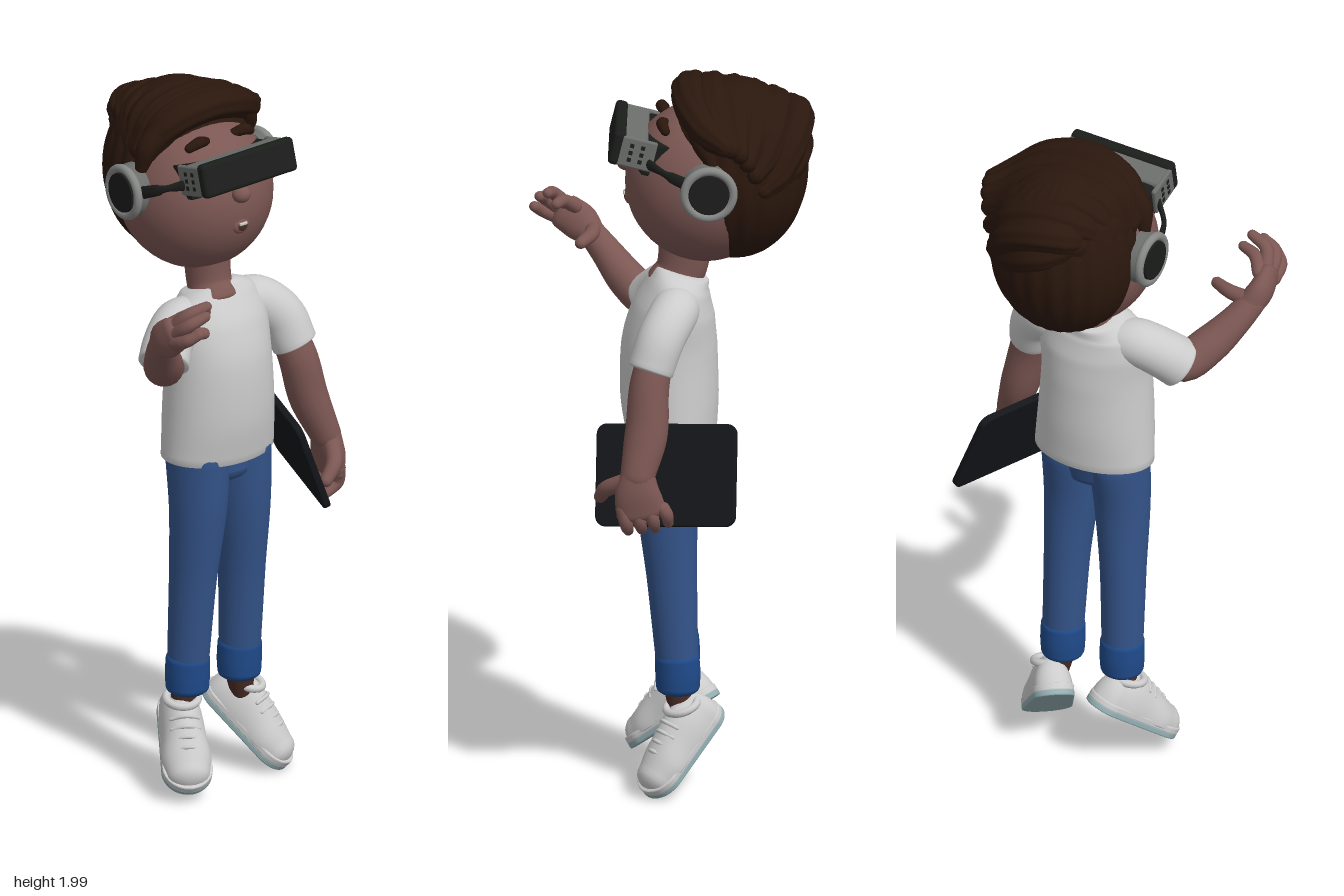
import * as THREE from 'three';
import { RoundedBoxGeometry } from 'three/addons/geometries/RoundedBoxGeometry.js';

const mat = (color) => new THREE.MeshStandardMaterial({ color, side: THREE.DoubleSide });
const M = {
  skin: mat(0x7c5753), sock: mat(0x4a2c24), hair: mat(0x2a170d), shirt: mat(0xe2e2e2), jeans: mat(0x34548a),
  cuff: mat(0x1f4a8a), black: mat(0x1b1d1b), tablet: mat(0x14161a), grey: mat(0x6c6e6c), ring: mat(0x868886),
  shoe: mat(0xe6e6e6), sole: mat(0x93aeb2), white: mat(0xdddddd),
};
const V = (x, y, z) => new THREE.Vector3(x, y, z);

// Smooth tapered body along a path of [x, y, z, rx, rz]; rz lies along ref, round sets how domed the ends are
function loft(pts, { ref = V(0, 0, 1), round = 1, sides = 20, steps = 20, wave = 0, waves = 0, floor = 1 } = {}) {
  const path = new THREE.CatmullRomCurve3(pts.map((p) => V(p[0], p[1], p[2])));
  const radii = new THREE.CatmullRomCurve3(pts.map((p) => V(p[3], p[4] ?? p[3], 0)));
  const rings = [];
  for (let k = 0; k < 5; k++) rings.push([0, Math.sin(k * Math.PI / 10), -Math.cos(k * Math.PI / 10)]);
  for (let i = 0; i <= steps; i++) rings.push([i / steps, 1, 0]);
  for (let k = 1; k <= 5; k++) rings.push([1, Math.cos(k * Math.PI / 10), Math.sin(k * Math.PI / 10)]);
  const pos = [], idx = [];
  rings.forEach(([t, s, off], i) => {
    const c = path.getPoint(t), r = radii.getPoint(t), T = path.getTangent(t);
    const N = ref.clone().addScaledVector(T, -ref.dot(T)).normalize(), B = N.clone().cross(T);
    c.addScaledVector(T, off * round * Math.min(r.x, r.y));
    for (let j = 0; j < sides; j++) {
      const a = j / sides * Math.PI * 2, w = s * (1 + wave * Math.cos(waves * a));
      const n = Math.sin(a) * r.y * w;
      const p = c.clone().addScaledVector(B, Math.cos(a) * r.x * w).addScaledVector(N, n < 0 ? n * floor : n);
      pos.push(p.x, p.y, p.z);
      if (i) {
        const d = i * sides + j, e = i * sides + (j + 1) % sides;
        idx.push(d - sides, e - sides, e, d - sides, e, d);
      }
    }
  });
  const g = new THREE.BufferGeometry();
  g.setAttribute('position', new THREE.Float32BufferAttribute(pos, 3));
  g.setIndex(idx);
  g.computeVertexNormals();
  return g;
}
function add(parent, name, geo, material, p = [0, 0, 0], scale = [1, 1, 1]) {
  const m = new THREE.Mesh(geo, material);
  m.name = name;
  m.position.set(...p);
  m.scale.set(...scale);
  parent.add(m);
  return m;
}
const group = (parent, name) => {
  const g = new THREE.Group();
  g.name = name;
  parent.add(g);
  return g;
};
const ball = () => new THREE.SphereGeometry(1, 40, 28);

function buildHead(root) {
  const head = group(root, 'head');
  add(head, 'face', ball(), M.skin, [0.025, 1.7, -0.085], [0.21, 0.22, 0.217]);
  add(head, 'neck', loft([[0.02, 1.4, 0.008, 0.078, 0.07], [0.022, 1.45, -0.02, 0.057, 0.068], [0.025, 1.56, -0.035, 0.06, 0.075]], { round: 0.3, sides: 28 }), M.skin);
  add(head, 'nose', ball(), M.skin, [0.013, 1.75, 0.128], [0.027, 0.025, 0.027]);
  add(head, 'lips', ball(), M.skin, [0.017, 1.657, 0.121], [0.028, 0.025, 0.013]);
  add(head, 'mouth', ball(), M.sock, [0.017, 1.656, 0.129], [0.018, 0.015, 0.006]);
  add(head, 'teeth', new RoundedBoxGeometry(0.026, 0.009, 0.008, 2, 0.003), M.white, [0.017, 1.663, 0.133]);
  for (const s of [-1, 1]) {
    const x = 0.023 + s * 0.077;
    add(head, 'eyebrow', loft([[x - 0.028, 1.876 + s * 0.003, 0.024, 0.013], [x, 1.886, 0.033, 0.016], [x + 0.028, 1.876 - s * 0.003, 0.024, 0.013]], { sides: 12, steps: 8 }), M.hair);
  }
}

function buildHair(root) {
  const hair = group(root, 'hair');
  // Grooved back of the hair
  const back = new THREE.SphereGeometry(1, 120, 32), p = back.attributes.position;
  for (let i = 0; i < p.count; i++) {
    const a = Math.atan2(p.getX(i), p.getZ(i)), k = 1 + 0.015 * Math.cos(a * 22);
    p.setXYZ(i, p.getX(i) * k, p.getY(i), p.getZ(i) * k);
  }
  back.computeVertexNormals();
  add(hair, 'backHair', back, M.hair, [0.031, 1.74, -0.165], [0.206, 0.25, 0.195]);
  add(hair, 'crown', ball(), M.hair, [0.032, 1.835, -0.16], [0.188, 0.135, 0.178]);
  // Locks swept across the crown towards the left side
  const n = 6;
  for (let i = 0; i < n; i++) {
    const f = i / (n - 1), q = f * f, mix = (a, b) => a + (b - a) * f;
    add(hair, 'sweptLock', loft([
      [-0.135 + q * 0.08, 1.845 - q * 0.01, mix(-0.085, -0.265), 0.035, 0.035],
      [-0.09 + q * 0.05, 1.92 - q * 0.045, mix(-0.06, -0.305), 0.048, 0.045],
      [0.02, 1.952 - q * 0.07, mix(-0.045, -0.325), 0.053, 0.047],
      [0.13 - q * 0.015, 1.932 - q * 0.1, mix(-0.055, -0.31), 0.05, 0.046],
      [0.205 - q * 0.035, 1.89 - q * 0.13, mix(-0.09, -0.275), 0.04, 0.04],
      [0.265 - q * 0.06, 1.87 - q * 0.14, mix(-0.135, -0.24), 0.024, 0.026],
    ], { ref: V(0, 1, 0), sides: 48, steps: 28, wave: 0.035, waves: 9 }), M.hair);
  }
  // Lower lock around the back and side locks over the temples
  add(hair, 'backLock', loft([[-0.06, 1.85, -0.285, 0.04], [0.03, 1.815, -0.325, 0.05], [0.12, 1.765, -0.3, 0.046], [0.195, 1.735, -0.22, 0.028]], { ref: V(0, 1, 0), sides: 36, wave: 0.035, waves: 9 }), M.hair);
  add(hair, 'templeLock', loft([[-0.11, 1.91, -0.06, 0.035], [-0.152, 1.86, -0.07, 0.03], [-0.165, 1.8, -0.08, 0.018]]), M.hair);
  add(hair, 'templeLock', loft([[0.16, 1.91, -0.06, 0.035], [0.2, 1.855, -0.08, 0.03], [0.217, 1.81, -0.1, 0.016]]), M.hair);
}

function buildHeadset(root) {
  const set = group(root, 'headset');
  for (const s of [-1, 1]) {
    const cup = group(set, 'earCup');
    cup.position.set(0.027 + s * 0.218, 1.735, -0.1 + s * 0.008);
    cup.rotation.set(0, s * 0.06, -s * Math.PI / 2);
    add(cup, 'cushion', new THREE.CylinderGeometry(0.068, 0.076, 0.042, 40), M.grey, [0, -0.007, 0]);
    add(cup, 'cupRim', new THREE.TorusGeometry(0.066, 0.012, 14, 48).rotateX(Math.PI / 2), M.ring, [0, 0.011, 0]);
    add(cup, 'cupPlate', new THREE.CylinderGeometry(0.054, 0.058, 0.02, 40), M.black, [0, 0.014, 0]);
    const x = 0.02;
    add(set, 'strap', loft([[x + s * 0.212, 1.748, -0.05, 0.007, 0.018], [x + s * 0.198, 1.772, 0.01, 0.007, 0.016], [x + s * 0.15, 1.793, 0.07, 0.007, 0.016]], { ref: V(0, 1, 0), sides: 12 }), M.black);
  }
  const visor = group(set, 'visor');
  visor.position.set(0.017, 1.818, 0.1);
  visor.rotation.set(-0.24, -0.03, 0.025);
  add(visor, 'visorBody', new RoundedBoxGeometry(0.3, 0.085, 0.075, 3, 0.01), M.grey, [0, 0, 0.012]);
  add(visor, 'frontPlate', new RoundedBoxGeometry(0.312, 0.094, 0.034, 3, 0.012), M.black, [0, 0.002, 0.053]);
  for (const s of [-1, 1]) {
    add(visor, 'sidePod', new RoundedBoxGeometry(0.014, 0.085, 0.1, 3, 0.006), M.grey, [s * 0.148, 0, -0.002]);
    for (let i = 0; i < 6; i++)
      add(visor, 'sideButton', new THREE.BoxGeometry(0.004, 0.011, 0.011), M.black, [s * 0.155, 0.02 - (i % 3) * 0.02, i < 3 ? 0.015 : -0.015]);
  }
  // Face mask curved to the forehead
  const sh = new THREE.Shape();
  sh.moveTo(-0.136, -0.03);
  sh.quadraticCurveTo(0, 0.01, 0.136, -0.03);
  sh.lineTo(0.14, -0.085);
  sh.quadraticCurveTo(0, 0.01, -0.14, -0.085);
  const mask = new THREE.ExtrudeGeometry(sh, { depth: 0.082, bevelSize: 0.004, bevelThickness: 0.006, bevelSegments: 2, curveSegments: 20 });
  add(visor, 'faceMask', mask.rotateX(Math.PI / 2), M.black, [0, 0.03, 0]);
}

function buildBody(root) {
  const top = group(root, 'tShirt');
  add(top, 'shirtBody', loft([
    [0.03, 0.97, 0.005, 0.171, 0.12], [0.028, 1.1, 0.012, 0.163, 0.133], [0.027, 1.24, 0.012, 0.155, 0.13],
    [0.027, 1.34, 0.0, 0.157, 0.112], [0.025, 1.405, -0.014, 0.138, 0.086], [0.022, 1.437, -0.024, 0.083, 0.074],
  ], { round: 0.1, sides: 40, steps: 30 }), M.shirt);
  add(top, 'sleeve', loft([[0.08, 1.365, -0.015, 0.055], [0.165, 1.365, 0.002, 0.066], [0.225, 1.315, 0.036, 0.065], [0.25, 1.235, 0.065, 0.063]], { round: 0.15, sides: 28 }), M.shirt);
  add(top, 'sleeve', loft([[-0.03, 1.365, -0.015, 0.055], [-0.105, 1.362, 0.002, 0.066], [-0.165, 1.325, 0.033, 0.068], [-0.2, 1.29, 0.06, 0.07]], { round: 0.15, sides: 28 }), M.shirt);

  const legs = group(root, 'jeans');
  add(legs, 'hips', loft([[0.027, 0.92, 0.014, 0.11, 0.088], [0.027, 1.0, 0.005, 0.148, 0.1]], { round: 0.45, sides: 36 }), M.jeans);
  for (const s of [-1, 1]) {
    const x = (d) => 0.029 + s * d, name = s > 0 ? 'left' : 'right';
    add(legs, name + 'Leg', loft([[x(0.071), 0.97, 0.01, 0.079, 0.103], [x(0.076), 0.82, 0.018, 0.075, 0.085], [x(0.085), 0.6, 0.006, 0.062, 0.068], [x(0.09), 0.36, -0.008, 0.056, 0.057]], { sides: 28 }), M.jeans);
    add(legs, name + 'Cuff', loft([[x(0.09), 0.29, -0.01, 0.059], [x(0.09), 0.33, -0.01, 0.061], [x(0.09), 0.375, -0.008, 0.06]], { round: 0.4, sides: 28 }), M.cuff);
    add(legs, name + 'Ankle', loft([[x(0.105), 0.21, -0.018, 0.03], [x(0.092), 0.3, -0.012, 0.042]]), M.sock);
  }
}

function buildShoe(root, name, pos, yaw, pitch) {
  const shoe = group(root, name);
  shoe.position.set(...pos);
  shoe.rotation.set(pitch, yaw, 0, 'YXZ');
  const up = V(0, 1, 0);
  add(shoe, 'upper', loft([[0, 0.025, -0.115, 0.052, 0.088], [0, 0.025, -0.06, 0.06, 0.1], [0, 0.025, 0.0, 0.063, 0.088], [0, 0.025, 0.06, 0.069, 0.068], [0, 0.025, 0.105, 0.06, 0.052]], { ref: up, floor: 0.2, round: 0.8, sides: 28 }), M.shoe);
  // Rounded sole outline: white welt above, pale tread below
  const sh = new THREE.Shape();
  sh.absarc(0, 0.087, 0.065, Math.PI, 0, true);
  sh.absarc(0, -0.104, 0.053, 0, -Math.PI, true);
  const slab = (d, y) => new THREE.ExtrudeGeometry(sh, { depth: d, bevelSize: 0.004, bevelThickness: 0.004, bevelSegments: 2, curveSegments: 20 }).rotateX(Math.PI / 2).translate(0, y, 0);
  add(shoe, 'welt', slab(0.012, 0.03), M.shoe);
  add(shoe, 'tread', slab(0.01, 0.014), M.sole);
  add(shoe, 'toeCap', loft([[0, 0, 0.055, 0.062, 0.016], [0, 0, 0.095, 0.056, 0.016]], { ref: up, round: 2.5 }), M.shoe, [0, 0.035, 0.005]);
  add(shoe, 'collar', new THREE.TorusGeometry(0.043, 0.011, 10, 28).rotateX(Math.PI / 2 - 0.4), M.shoe, [0, 0.108, -0.087]);
  for (let i = 0; i < 4; i++) {
    const z = -0.025 + i * 0.027, y = 0.121 - i * 0.0095;
    add(shoe, 'lace', loft([[-0.038, y - 0.02, z, 0.005], [0, y, z + 0.004, 0.006], [0.038, y - 0.02, z, 0.005]], { ref: up, sides: 8, steps: 8 }), M.white);
  }
}

function buildArms(root) {
  const finger = (parent, name, a, b, c, r = 0.018) =>
    add(parent, name, loft([[...a, r * 1.1], [...b, r], [...c, r * 0.8]], { ref: V(0.3, 0.2, 1), sides: 14, steps: 10 }), M.skin);

  // Lowered arm gripping the tablet
  const left = group(root, 'leftArm');
  add(left, 'arm', loft([[0.23, 1.29, 0.045, 0.048], [0.26, 1.19, 0.068, 0.054], [0.29, 1.07, 0.076, 0.053, 0.058], [0.328, 0.96, 0.1, 0.042, 0.047]]), M.skin);
  add(left, 'palm', loft([[0.328, 0.97, 0.1, 0.038, 0.045], [0.338, 0.91, 0.1, 0.034, 0.062], [0.342, 0.86, 0.09, 0.025, 0.068]]), M.skin);
  for (let i = 0; i < 4; i++) {
    const z = 0.13 - i * 0.036, y = i === 3 ? 0.03 : i * 0.006;
    finger(left, 'finger', [0.342, 0.87, z + 0.01], [0.346, 0.825 + y, z], [0.305 + i * 0.008, 0.797 + y, z - 0.005]);
  }
  finger(left, 'thumb', [0.325, 0.94, 0.135], [0.29, 0.91, 0.185], [0.25, 0.875, 0.2], 0.022);

  // Raised arm with a curled open hand
  const right = group(root, 'rightArm');
  add(right, 'arm', loft([[-0.15, 1.335, 0.03, 0.045], [-0.205, 1.288, 0.07, 0.055], [-0.255, 1.325, 0.125, 0.053], [-0.305, 1.385, 0.18, 0.043], [-0.335, 1.43, 0.22, 0.037]]), M.skin);
  add(right, 'palm', loft([[-0.33, 1.425, 0.215, 0.037], [-0.347, 1.455, 0.25, 0.052, 0.034], [-0.35, 1.485, 0.29, 0.05, 0.027]], { ref: V(1, 0.3, 0.2) }), M.skin);
  finger(right, 'finger', [-0.335, 1.505, 0.265], [-0.308, 1.53, 0.295], [-0.262, 1.535, 0.315]);
  finger(right, 'finger', [-0.345, 1.505, 0.285], [-0.327, 1.545, 0.322], [-0.277, 1.562, 0.338]);
  finger(right, 'finger', [-0.353, 1.49, 0.3], [-0.343, 1.525, 0.345], [-0.3, 1.545, 0.36]);
  finger(right, 'finger', [-0.358, 1.465, 0.305], [-0.357, 1.485, 0.35], [-0.333, 1.505, 0.374]);
  finger(right, 'thumb', [-0.325, 1.445, 0.215], [-0.27, 1.445, 0.222], [-0.215, 1.44, 0.25], 0.02);

  // Tablet, tilted between the hip and the hand
  const sh = new THREE.Shape(), w = 0.195, h = 0.135, r = 0.025;
  [[w - r, h - r, 0], [r - w, h - r, 1], [r - w, r - h, 2], [w - r, r - h, 3]].forEach(([x, y, k]) =>
    sh.absarc(x, y, r, k * Math.PI / 2, (k + 1) * Math.PI / 2, false));
  const slab = new THREE.ExtrudeGeometry(sh, { depth: 0.012, bevelSize: 0.004, bevelThickness: 0.004, bevelSegments: 2 }).translate(0, 0, -0.006);
  const tablet = add(root, 'tablet', slab, M.tablet);
  const along = V(0.127, 0.04, -0.38).normalize(), up = V(-0.103, 0.26, 0);
  up.addScaledVector(along, -up.dot(along)).normalize();
  tablet.matrix.makeBasis(along, up, along.clone().cross(up)).setPosition(0.265, 0.94, 0.022);
  tablet.matrix.decompose(tablet.position, tablet.quaternion, tablet.scale);
}

export function createModel() {
  const root = new THREE.Group();
  root.name = 'character';
  buildHead(root);
  buildHair(root);
  buildHeadset(root);
  buildBody(root);
  buildShoe(root, 'leftShoe', [0.148, 0.11, -0.028], 0.6, 0.75);
  buildShoe(root, 'rightShoe', [-0.083, 0.122, -0.005], -0.52, 0.64);
  buildArms(root);
  return root;
}
